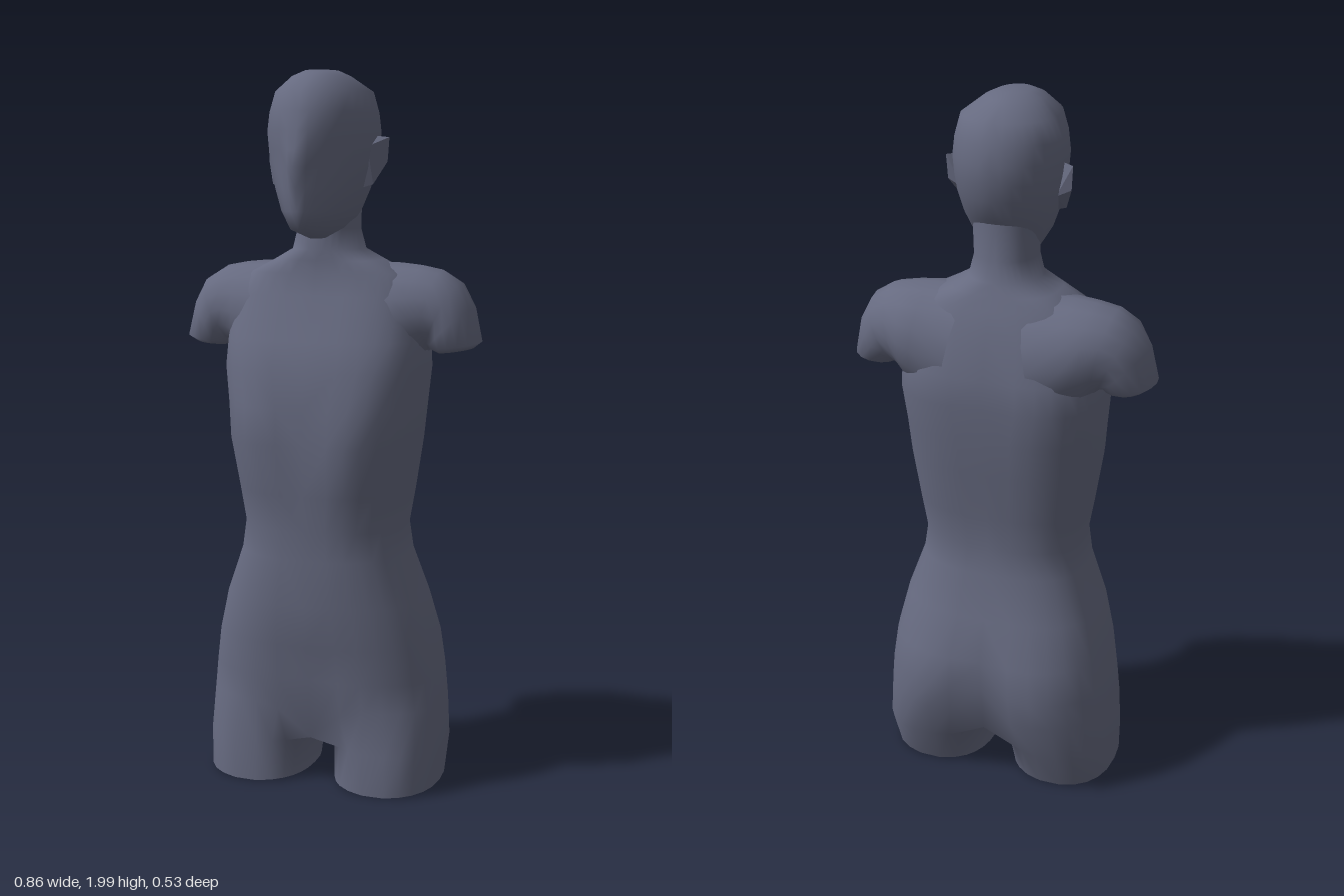
import * as THREE from 'three';
import { mergeVertices } from 'three/addons/utils/BufferGeometryUtils.js';
import { ConvexGeometry } from 'three/addons/geometries/ConvexGeometry.js';

// Double-sided because the thighs are open below
const material = new THREE.MeshStandardMaterial({ color: 0x666a80, side: THREE.DoubleSide });
const V = (x, y, z) => new THREE.Vector3(x, y, z);
const lerp = THREE.MathUtils.lerp;
const N = 17; // points from front centre round to back centre

// Power of a sine or cosine that keeps its sign (superellipse)
const pow = (v, n) => Math.sign(v) * Math.pow(Math.abs(v) < 1e-9 ? 0 : Math.abs(v), 2 / n);

// Half cross-section at height y: half width, front z, back z, centre grooves
function halfSection([y, w, zf, zb, dipF = 0, dipB = 0], cz, n, grooveWidth) {
  return Array.from({ length: N }, (_, k) => {
    const t = (Math.PI * k) / (N - 1);
    const x = w * pow(Math.sin(t), n);
    const c = pow(Math.cos(t), n);
    const groove = Math.exp(-((x / grooveWidth) ** 2));
    const z = c > 0 ? cz + (zf - cz) * c - dipF * groove * c : cz + (cz - zb) * c - dipB * groove * c;
    return V(x, y, z);
  });
}

// Triangles between successive rings
function skin(rings, closed) {
  const tris = [];
  for (let r = 0; r + 1 < rings.length; r++) {
    const count = rings[r].length;
    for (let k = 0; k < (closed ? count : count - 1); k++) {
      const j = (k + 1) % count;
      const [a, b, c, d] = [rings[r][k], rings[r][j], rings[r + 1][j], rings[r + 1][k]];
      tris.push(a, b, c, a, c, d);
    }
  }
  return tris;
}

const centre = (ring) => ring.reduce((s, p) => s.add(p), V(0, 0, 0)).divideScalar(ring.length);

// Fan closing a ring
function fan(ring, flip) {
  const mid = centre(ring);
  return ring.flatMap((p, k) => {
    const q = ring[(k + 1) % ring.length];
    return flip ? [mid, q, p] : [mid, p, q];
  });
}

// Adds the mirrored half of a triangle list
function mirrored(tris) {
  const other = [];
  for (let i = 0; i < tris.length; i += 3) {
    for (const p of [tris[i], tris[i + 2], tris[i + 1]]) other.push(V(-p.x, p.y, p.z));
  }
  return [...tris, ...other];
}

function mesh(name, tris) {
  let geometry = new THREE.BufferGeometry().setFromPoints(tris);
  geometry = mergeVertices(geometry, 1e-5);
  geometry.computeVertexNormals();
  const m = new THREE.Mesh(geometry, material);
  m.name = name;
  return m;
}

// Thigh ring whose points line up with the half torso plus the crotch
function legRing(y, inner, outer, zf, zb) {
  const a = 0.7, M = 8;
  const cx = (inner + outer) / 2, cz = (zf + zb) / 2;
  const at = (t) => V(cx + (outer - inner) / 2 * pow(Math.sin(t), 2.5), y, cz + (zf - zb) / 2 * pow(Math.cos(t), 2.5));
  const ring = [];
  for (let k = 0; k < N; k++) ring.push(at(-a + (Math.PI + 2 * a) * k / (N - 1)));
  for (let k = 1; k < M; k++) ring.push(at(Math.PI + a + (Math.PI - 2 * a) * k / M));
  return ring;
}

export function createModel() {
  const model = new THREE.Group();

  // Trunk and neck: y, half width, front z, back z, front groove, back groove
  const trunk = [
    [0.25, 0.343, 0.172, -0.275, 0.03, 0.06],
    [0.33, 0.334, 0.178, -0.284, 0.02, 0.05],
    [0.43, 0.32, 0.187, -0.268, 0.005, 0.025],
    [0.55, 0.29, 0.2, -0.215, 0, 0.007],
    [0.68, 0.242, 0.197, -0.178],
    [0.76, 0.23, 0.197, -0.17],
    [0.86, 0.247, 0.207, -0.182, 0.006, 0.005],
    [1.0, 0.267, 0.247, -0.205, 0.045, 0.01],
    [1.1, 0.277, 0.225, -0.216, 0.025, 0.012],
    [1.2, 0.284, 0.196, -0.221, 0.003, 0.012],
    [1.28, 0.282, 0.165, -0.214, 0, 0.008],
    [1.4, 0.262, 0.112, -0.176],
    [1.46, 0.22, 0.095, -0.15],
    [1.495, 0.15, 0.093, -0.135],
    [1.525, 0.1, 0.093, -0.122],
    [1.58, 0.086, 0.085, -0.105],
    [1.68, 0.09, 0.07, -0.1],
  ].map((row) => halfSection(row, -0.02, row[0] > 1.5 ? 2.1 : row[0] > 1.15 ? 2.9 : 2.5, 0.1));

  // Hip ring sinks at the middle and closes in an arch between the thighs
  const hip = trunk[0];
  for (const p of hip) p.y -= (p.z > 0 ? 0.095 : 0.06) * Math.exp(-((p.x / 0.07) ** 2));
  const arch = [];
  for (let k = 1; k < 8; k++) {
    const t = k / 8;
    arch.push(V(0, lerp(hip[N - 1].y, hip[0].y, t) - 0.03 * Math.sin(Math.PI * t), lerp(hip[N - 1].z, hip[0].z, t)));
  }
  const legs = [
    legRing(0.01, 0.04, 0.34, 0.165, -0.175),
    legRing(0.13, 0.035, 0.346, 0.163, -0.22),
    [...hip, ...arch],
  ];
  for (const p of legs[0]) p.y += 0.012 * Math.abs(p.x - 0.19) / 0.15;
  model.add(mesh('body', mirrored([...skin(trunk, false), ...skin(legs, true)])));

  // Shoulders: top x, top y, bottom x, bottom y, back z, front z
  const arm = [
    [0.08, 1.49, 0.15, 1.14, -0.2, 0.12],
    [0.2, 1.487, 0.23, 1.19, -0.198, 0.1],
    [0.26, 1.481, 0.255, 1.215, -0.186, 0.087],
    [0.318, 1.47, 0.27, 1.235, -0.17, 0.076],
    [0.372, 1.437, 0.283, 1.248, -0.159, 0.068],
    [0.408, 1.37, 0.288, 1.254, -0.15, 0.062],
    [0.43, 1.275, 0.29, 1.256, -0.138, 0.06],
  ].map(([tx, ty, bx, by, zb, zf]) => Array.from({ length: 16 }, (_, k) => {
    const t = (2 * Math.PI * k) / 16, c = Math.cos(t) / 2;
    return V((tx + bx) / 2 + (tx - bx) * c, (ty + by) / 2 + (ty - by) * c,
      (zf + zb) / 2 + (zf - zb) / 2 * Math.sin(t));
  }));
  // Softly rounded stump
  const rim = arm[arm.length - 1];
  const stump = rim.map((p) => p.clone().lerp(centre(rim), 0.3).add(V(0, -0.014, 0)));
  model.add(mesh('shoulders', mirrored([...skin([...arm, stump], true), ...fan(stump, false)])));

  // Head: chin to crown, widest near z = 0, with the nose as a narrow front ridge
  const head = [
    [1.556, 0.03, 0.11, 0.03],
    [1.582, 0.066, 0.222, -0.01],
    [1.63, 0.098, 0.236, -0.06],
    [1.69, 0.122, 0.234, -0.11, -0.01],
    [1.745, 0.138, 0.228, -0.132, -0.041],
    [1.79, 0.145, 0.226, -0.142, -0.025],
    [1.84, 0.149, 0.231, -0.147, -0.005],
    [1.89, 0.144, 0.221, -0.135],
    [1.945, 0.129, 0.2, -0.117],
    [1.985, 0.078, 0.145, -0.05],
    [2.0, 0.045, 0.105, -0.01],
  ].map((row) => halfSection(row, row[0] < 1.56 || row[0] > 1.96 ? 0.04 : 0.005, 2, 0.026));
  const crown = head[head.length - 1], chin = head[0];
  const whole = (half) => [...half, ...half.slice(1, -1).reverse().map((p) => V(-p.x, p.y, p.z))];
  model.add(mesh('head', [...mirrored(skin(head, false)), ...fan(whole(crown), false), ...fan(whole(chin), true)]));

  // Ears
  for (const s of [1, -1]) {
    const ear = new THREE.Mesh(new ConvexGeometry([
      V(s * 0.13, 1.83, 0.02), V(s * 0.176, 1.825, -0.005), V(s * 0.172, 1.76, -0.002), V(s * 0.145, 1.7, 0.04),
      V(s * 0.115, 1.69, 0.05), V(s * 0.135, 1.8, 0.06), V(s * 0.13, 1.74, -0.005),
    ]), material);
    ear.name = s > 0 ? 'leftEar' : 'rightEar';
    model.add(ear);
  }
  return model;
}
